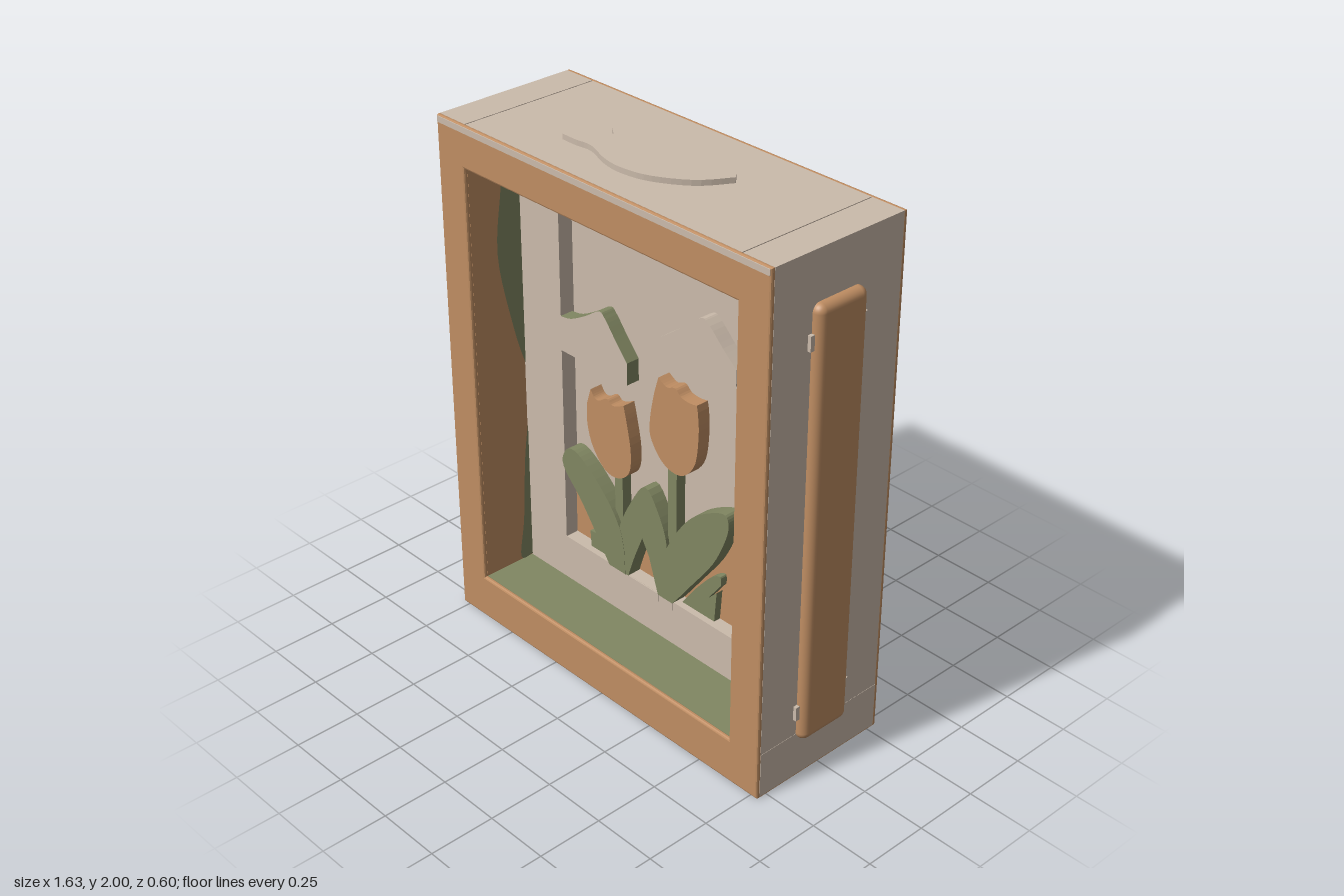
import * as THREE from 'three';
import { RoundedBoxGeometry } from 'three/addons/geometries/RoundedBoxGeometry.js';

const V = (p) => new THREE.Vector2(p[0], p[1]);

// Closed outline made of smooth runs that meet at sharp corners
function outline(...runs) {
  const pts = [];
  for (const run of runs) {
    const v = run.map(V);
    pts.push(...(v.length > 2 ? new THREE.SplineCurve(v).getPoints(v.length * 4) : v));
  }
  return new THREE.Shape(pts);
}

const rectPoints = (x0, y0, x1, y1) => [[x0, y0], [x1, y0], [x1, y1], [x0, y1]].map(V);

// Rectangle with a rectangular opening
function windowShape(outer, inner) {
  const s = new THREE.Shape(rectPoints(...outer));
  s.holes.push(new THREE.Path(rectPoints(...inner).reverse()));
  return s;
}

export function createModel() {
  const root = new THREE.Group();
  root.name = 'shadowBox';
  const material = (name, color) => {
    const m = new THREE.MeshStandardMaterial({ color });
    m.name = name;
    return m;
  };
  const wood = material('warm wood', 0xc08e63);
  const cream = material('cream', 0xcbbbab);
  const green = material('leaf green', 0x818762);

  const add = (name, geometry, mat, x = 0, y = 0, z = 0) => {
    const m = new THREE.Mesh(geometry, mat);
    m.name = name;
    m.position.set(x, y, z);
    root.add(m);
    return m;
  };
  // Box from its limits
  const box = (name, mat, x0, x1, y0, y1, z0, z1) =>
    add(name, new THREE.BoxGeometry(x1 - x0, y1 - y0, z1 - z0), mat,
      (x0 + x1) / 2, (y0 + y1) / 2, (z0 + z1) / 2);
  // Flat cut-out between two depths
  const cutout = (name, mat, shape, z0, z1, bevel = 0) => add(name,
    new THREE.ExtrudeGeometry(shape, {
      depth: z1 - z0 - 2 * bevel, bevelEnabled: bevel > 0, bevelSize: bevel,
      bevelThickness: bevel, bevelOffset: -bevel, bevelSegments: 2,
    }), mat, 0, 0, z0 + bevel);

  // Case walls
  const W = 0.78, H = 1.98, IX = 0.645, Y0 = 0.175, Y1 = 1.825, D = 0.28;
  for (const s of [-1, 1]) {
    const [a, b] = s < 0 ? [-W, -IX - 0.004] : [IX + 0.004, W];
    box('sideWall', cream, a, b, 0.004, H, -D, D);
    box('sideLining', wood, Math.min(s * IX, s * (IX + 0.004)),
      Math.max(s * IX, s * (IX + 0.004)), Y0, Y1, -D, D);
  }
  box('topWall', cream, -IX, IX, Y1 + 0.004, H, -D, D);
  box('topLining', wood, -IX, IX, Y1, Y1 + 0.004, -D, D);
  box('bottomWall', wood, -W, W, 0, Y0 - 0.004, -D + 0.001, D - 0.001);
  box('floorLining', green, -IX, IX, Y0 - 0.004, Y0, 0, D);
  box('backSill', wood, -IX, IX, Y0 - 0.004, Y0, -D, 0);
  // Cream skirts cover the ends of the bottom wall
  for (const s of [-1, 1]) box('sideSkirt', cream, s * W - 0.001, s * W + 0.001, 0.004, 0.18, -D, D);

  // Front and back frames
  const frame = windowShape([-W, 0, W, H], [-IX, Y0, IX, Y1]);
  cutout('frontFrame', wood, frame, 0.275, 0.295, 0.007);
  cutout('backFrame', wood, frame, -0.295, -0.275, 0.007);
  box('frontTopEdge', cream, -W + 0.005, W - 0.005, 1.955, H - 0.003, 0.288, 0.297);

  // Painted patches on the left inner wall
  const patch = (pts) => {
    const g = new THREE.ShapeGeometry(outline(pts, [[-0.065, pts[0][1]]]));
    g.rotateY(Math.PI / 2);
    add('wallPatch', g, green, -IX + 0.003, 0, 0);
  };
  patch([[-0.065, 1.0], [-0.11, 1.15], [-0.17, 1.45], [-0.15, 1.68], [-0.12, 1.82], [-0.065, 1.82]]);
  patch([[-0.065, 0.18], [-0.12, 0.19], [-0.1, 0.35], [-0.085, 0.6], [-0.065, 0.75]]);

  // Mat with its window, and the backing behind it
  cutout('mat', cream, windowShape([-IX, Y0, IX, Y1], [-0.44, 0.355, 0.435, 1.66]), 0.005, 0.065);
  box('matEdgeRight', wood, 0.605, IX, Y0, Y1, 0.065, 0.067);
  box('matEdgeTop', wood, -IX, 0.605, 1.79, Y1, 0.065, 0.067);
  box('backing', cream, -IX, IX, Y0, Y1, -0.005, 0.005);
  box('backPanel', wood, -IX, IX, Y0, Y1, -0.25, -0.2);

  // Hills painted at the foot of the backing
  cutout('leftHill', wood, outline([[-0.44, 0.355], [-0.1, 0.355]],
    [[-0.1, 0.4], [-0.25, 0.48], [-0.36, 0.55], [-0.44, 0.585]]), 0.005, 0.012);
  cutout('rightHill', wood, outline([[0.1, 0.355], [0.435, 0.355]], [[0.435, 0.73], [0.37, 0.73]],
    [[0.3, 0.68], [0.2, 0.5], [0.1, 0.42]]), 0.005, 0.012);
  cutout('middleHill', wood, outline([[-0.13, 0.355], [0.08, 0.355]], [[0.05, 0.6], [-0.1, 0.6]]), 0.005, 0.012);

  // Clouds
  cutout('leftCloud', [cream, green], outline([[-0.44, 1.135], [-0.1, 1.135]],
    [[-0.1, 1.22], [-0.16, 1.29], [-0.21, 1.35], [-0.24, 1.365], [-0.31, 1.32], [-0.385, 1.28], [-0.44, 1.27]]), 0.012, 0.066);
  cutout('rightCloud', cream, outline([[0.06, 1.35], [0.42, 1.35]],
    [[0.42, 1.41], [0.36, 1.46], [0.29, 1.525], [0.25, 1.53], [0.15, 1.45], [0.06, 1.385]]), 0.012, 0.066);

  // Tulip stems and heads
  box('leftStem', green, -0.18, -0.14, 0.4, 0.78, 0.015, 0.055);
  box('rightStem', green, 0.092, 0.135, 0.4, 0.92, 0.015, 0.055);
  cutout('leftTulip', wood, outline([[-0.285, 1.045], [-0.265, 1.02], [-0.24, 1.018], [-0.2, 1.042],
    [-0.17, 1.027], [-0.115, 1.05]], [[-0.115, 1.05], [-0.1, 0.99], [-0.08, 0.88], [-0.09, 0.79], [-0.15, 0.742],
    [-0.22, 0.75], [-0.28, 0.82], [-0.305, 0.9], [-0.305, 0.98]]), 0.02, 0.07);
  cutout('rightTulip', wood, outline([[0.06, 1.235], [0.1, 1.215], [0.14, 1.227], [0.17, 1.205], [0.21, 1.2], [0.245, 1.205]],
    [[0.25, 1.18], [0.255, 1.1], [0.24, 0.98], [0.19, 0.91], [0.13, 0.895], [0.07, 0.92],
      [0.02, 0.99], [0.02, 1.07], [0.04, 1.17]]), 0.02, 0.07);

  // Large leaves
  cutout('leftLeaf', green, outline([[-0.2, 0.352], [-0.115, 0.352]],
    [[-0.12, 0.45], [-0.14, 0.53], [-0.2, 0.62], [-0.3, 0.71], [-0.38, 0.752], [-0.43, 0.73],
      [-0.44, 0.66], [-0.35, 0.56], [-0.26, 0.44]]), 0.015, 0.07);
  cutout('middleLeaf', green, outline([[-0.1, 0.352], [-0.07, 0.44], [-0.025, 0.55]],
    [[0.01, 0.49], [0.055, 0.352]], [[0.085, 0.352], [0.09, 0.45], [0.1, 0.58], [0.06, 0.69], [-0.01, 0.77], [-0.09, 0.66],
      [-0.145, 0.53], [-0.12, 0.44], [-0.12, 0.352]]), 0.015, 0.069);
  cutout('rightLeaf', green, outline([[0.065, 0.352], [0.13, 0.352]],
    [[0.16, 0.39], [0.22, 0.47], [0.33, 0.62], [0.39, 0.75], [0.4, 0.82], [0.365, 0.842],
      [0.24, 0.77], [0.15, 0.66], [0.09, 0.55]]), 0.015, 0.07);
  // Small leaves and the tabs joining the plants to the mat
  cutout('smallLeftLeaf', green, outline([[-0.33, 0.355], [-0.2, 0.355]], [[-0.24, 0.39], [-0.29, 0.42], [-0.335, 0.42]]), 0.012, 0.04);
  cutout('smallRightLeaf', green, outline([[0.15, 0.355], [0.31, 0.355]],
    [[0.32, 0.48], [0.28, 0.44]], [[0.34, 0.52], [0.335, 0.555], [0.29, 0.53], [0.22, 0.45]]), 0.012, 0.04);
  box('leftTab', cream, -0.2, 0.055, 0.32, 0.354, 0.06, 0.069);
  box('rightTab', cream, 0.065, 0.13, 0.32, 0.354, 0.06, 0.069);

  // Side handles with clips
  for (const s of [-1, 1]) {
    add('sideHandle', new RoundedBoxGeometry(0.07, 1.645, 0.218, 4, 0.03), wood, s * 0.78, 0.978, 0.005);
    for (const y of [0.275, 1.675]) {
      add('handleClip', new THREE.BoxGeometry(0.03, 0.055, 0.25), cream, s * 0.778, y, 0.005);
    }
  }

  // Raised fish on the top
  const fish = cutout('fish', cream, outline(
    [[-0.22, -0.005], [-0.28, 0.04], [-0.325, 0.09], [-0.34, 0.13]],
    [[-0.34, 0.13], [-0.27, 0.122], [-0.2, 0.135], [-0.1, 0.175], [-0.01, 0.19], [0.12, 0.165], [0.23, 0.105], [0.29, 0.045]],
    [[0.29, 0.045], [0.22, -0.06], [0.1, -0.14], [-0.01, -0.165], [-0.1, -0.155], [-0.2, -0.12], [-0.27, -0.125], [-0.335, -0.125]],
    [[-0.335, -0.125], [-0.325, -0.1], [-0.28, -0.05], [-0.22, -0.005]]), 0, 0.03);
  fish.rotation.x = -Math.PI / 2;
  fish.position.set(0, 1.97, 0);

  // Hanging ring, its peg and the back screws
  const ring = new THREE.CatmullRomCurve3([[-0.02, 1.765], [0.02, 1.765], [0.085, 1.62], [0.075, 1.577], [-0.075, 1.577], [-0.085, 1.62]]
    .map(([x, y]) => new THREE.Vector3(x, y, 0)), true);
  add('hangingRing', new THREE.TubeGeometry(ring, 60, 0.026, 10, true), green, -0.01, 0, -0.279);
  add('hangingPeg', new THREE.SphereGeometry(0.022, 12, 8), cream, -0.03, 1.62, -0.262);
  for (const x of [-0.59, 0.59]) for (const y of [0.23, 1.77]) {
    const screw = add('backScrew', new THREE.CylinderGeometry(0.01, 0.01, 0.008, 12), wood, x, y, -0.251);
    screw.rotation.x = Math.PI / 2;
  }
  return root;
}
